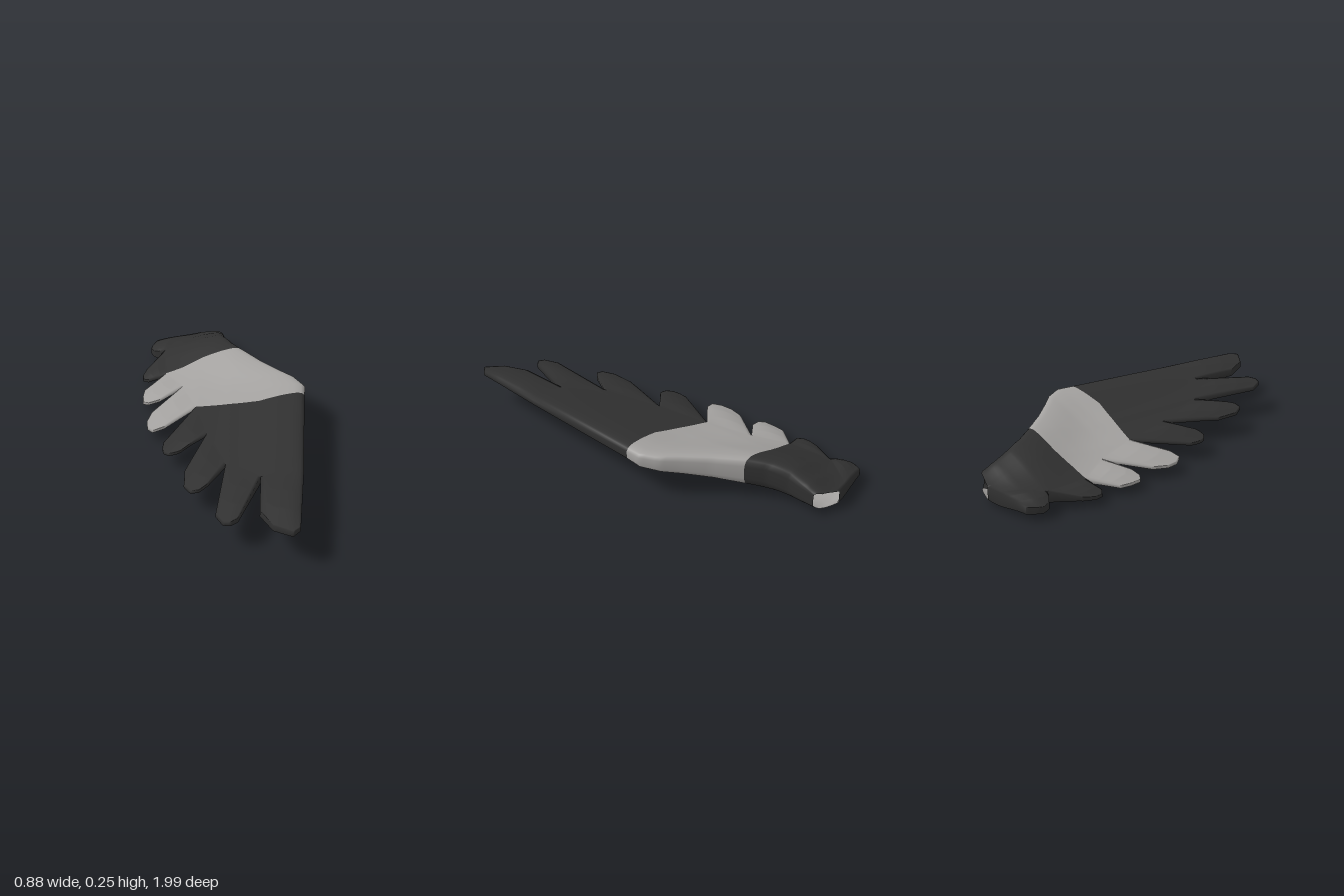
import * as THREE from 'three';
import { mergeVertices } from 'three/addons/utils/BufferGeometryUtils.js';

const ROWS = 48, COLS = 12;

// Piecewise-linear lookup in a table of [key, value]
function lookup(table, k) {
  if (k <= table[0][0]) return table[0][1];
  for (let i = 1; i < table.length; i++) {
    const [k0, v0] = table[i - 1], [k1, v1] = table[i];
    if (k <= k1) return v0 + (v1 - v0) * (k - k0) / (k1 - k0);
  }
  return table[table.length - 1][1];
}

// Wing section rules: leading edge x by z, camber height by x, thickness above and below it by z
const LEAD = [[-0.94, 0], [-0.8, 0.02], [-0.7, 0.06], [-0.61, 0.12], [-0.48, 0.22], [-0.37, 0.32],
  [-0.3, 0.39], [-0.21, 0.44], [-0.13, 0.435], [1, 0.385]];
const CAMBER = [[-0.44, 0.035], [-0.27, 0.08], [-0.13, 0.115], [0.05, 0.15], [0.3, 0.185], [0.44, 0.202]];
const ABOVE = [[-1, 0.035], [-0.97, 0.042], [-0.9, 0.068], [-0.8, 0.078], [-0.7, 0.068], [-0.6, 0.07],
  [-0.3, 0.05], [-0.1, 0.046], [0.2, 0.038], [1, 0.014]];
const BELOW = [[-1, 0.035], [-0.95, 0.067], [-0.9, 0.07], [-0.8, 0.095], [-0.7, 0.11], [-0.6, 0.1],
  [-0.3, 0.06], [-0.13, 0.04], [0.2, 0.034], [1, 0.014]];
const THIN = 0.007;

function middle(x, z) {
  const drop = THREE.MathUtils.smoothstep(-z, 0.68, 0.95) * THREE.MathUtils.smoothstep(x, -0.4, -0.1);
  return lookup(CAMBER, x) - 0.054 * drop;
}

// Rounded nose of the given depth, then a soft fall-off toward the feathers
function thickness(table, x, z, nose, spread) {
  const d = Math.max(0, lookup(LEAD, z) - x);
  const f = d < nose ? 0.35 + 0.65 * Math.sqrt(1 - (1 - d / nose) ** 2) : Math.exp(-(((d - nose) / spread) ** 2));
  return THIN + (lookup(table, z) - THIN) * f;
}

// Point on a polyline, evenly spaced per segment
function along(line, t) {
  const u = t * (line.length - 1), i = Math.min(Math.floor(u), line.length - 2), f = u - i;
  return [0, 1].map(k => line[i][k] + (line[i + 1][k] - line[i][k]) * f);
}

// Grid of upper and lower points filling four border lines
function patch(root, a, b, end, isFeather) {
  const grid = [];
  for (let i = 0; i <= ROWS; i++) {
    const t = i / ROWS, row = [];
    for (let j = 0; j <= COLS; j++) {
      const s = j / COLS;
      const r = along(root, s), e = along(end, s), l = along(a, t), m = along(b, t);
      const [x, z] = [0, 1].map(k => (1 - t) * r[k] + t * e[k] + (1 - s) * l[k] + s * m[k]
        - (1 - t) * ((1 - s) * root[0][k] + s * root[root.length - 1][k])
        - t * ((1 - s) * end[0][k] + s * end[end.length - 1][k]));
      const bulge = isFeather ? 0.01 * Math.sin(Math.PI * s) * Math.min(1, 3 * t, 3 * (1 - t)) : 0;
      const y = middle(x, z);
      row.push({
        top: [x, y + thickness(ABOVE, x, z, 0.06, 0.25) + bulge, z],
        bottom: [x, y - thickness(BELOW, x, z, 0.1, 0.23) - bulge, z],
      });
    }
    grid.push(row);
  }
  return grid;
}

// Collects faces by part and colour, smooths them together, then makes one mesh per part and colour
class Skin {
  constructor() { this.positions = []; this.parts = new Map(); }
  quad(part, material, p, q, r, s) {
    const key = `${material.name} ${part}`;
    if (!this.parts.has(key)) this.parts.set(key, { material, corners: [] });
    for (const v of [p, q, r, r, q, s]) {
      this.parts.get(key).corners.push(this.positions.length / 3);
      this.positions.push(...v);
    }
  }
  build(group) {
    let whole = new THREE.BufferGeometry();
    whole.setAttribute('position', new THREE.Float32BufferAttribute(this.positions, 3));
    whole = mergeVertices(whole, 1e-4);
    whole.computeVertexNormals();
    for (const [name, { material, corners }] of this.parts) {
      const g = new THREE.BufferGeometry();
      g.setIndex(corners.map(c => whole.index.getX(c)));
      g.setAttribute('position', whole.attributes.position);
      g.setAttribute('normal', whole.attributes.normal);
      const mesh = new THREE.Mesh(g.toNonIndexed(), material);
      mesh.name = name;
      group.add(mesh);
    }
  }
}

const dark = new THREE.MeshStandardMaterial({ color: 0x303030, side: THREE.DoubleSide });
dark.name = 'charcoal';
const pale = new THREE.MeshStandardMaterial({ color: 0xa3a19f, side: THREE.DoubleSide });
pale.name = 'pale grey';

// Borders between feather strips, each from the arm to the notch between two feathers
const WRIST = [[0.435, -0.13], [0.34, -0.12], [0.2, -0.105], [0.03, -0.135], [-0.13, -0.165]];
const BAND = [[0.12, -0.61], [0, -0.605], [-0.1, -0.6], [-0.22, -0.575], [-0.31, -0.565]];
const MID = [[0.32, -0.37], [-0.21, -0.395]];
const INNER = [[0.02, -0.8], [-0.33, -0.8]];
const ROOT = [[0, -0.94], [-0.03, -0.97], [-0.13, -1], [-0.2, -0.985]];
const SPLIT3 = [WRIST[3], [-0.065, 0.105]];
const SPLIT2 = [WRIST[2], [0.035, 0.4]];
const SPLIT1 = [WRIST[1], [0.205, 0.55]];
const EDGE = [WRIST[0], [0.41, 0.55]];

// Feather strips from body to wing tip: base line, two borders, feather outline between them
const STRIPS = [
  { colour: dark, arm: true, rootEnd: true, base: [[0, -0.94], [0.01, -0.87], [0.02, -0.8]], a: ROOT, b: INNER,
    tip: [[-0.38, -0.95], [-0.405, -0.9], [-0.41, -0.87], [-0.39, -0.83], [-0.36, -0.81]] },
  { colour: dark, arm: true, base: [[0.02, -0.8], [0.06, -0.7], [0.12, -0.61]], a: INNER, b: BAND,
    tip: [[-0.42, -0.66], [-0.44, -0.6], [-0.435, -0.56], [-0.405, -0.54]] },
  { colour: pale, arm: true, base: [[0.12, -0.61], [0.22, -0.48], [0.32, -0.37]], a: BAND, b: MID,
    tip: [[-0.42, -0.44], [-0.425, -0.38], [-0.42, -0.32], [-0.39, -0.3], [-0.33, -0.31]] },
  { colour: pale, arm: true, base: [[0.32, -0.37], [0.39, -0.3], [0.44, -0.21], WRIST[0]], a: MID, b: WRIST,
    tip: [[-0.365, -0.2], [-0.387, -0.12], [-0.38, -0.06], [-0.35, -0.02], [-0.29, -0.035]] },
  { colour: dark, base: [WRIST[4], WRIST[3]], a: [WRIST[4], WRIST[4]], b: SPLIT3,
    tip: [[-0.285, 0.11], [-0.29, 0.16], [-0.28, 0.2], [-0.25, 0.225], [-0.2, 0.22], [-0.165, 0.185]] },
  { colour: dark, base: [WRIST[3], WRIST[2]], a: SPLIT3, b: SPLIT2,
    tip: [[-0.165, 0.4], [-0.165, 0.52], [-0.13, 0.58], [-0.09, 0.58], [-0.05, 0.54]] },
  { colour: dark, base: [WRIST[2], WRIST[1]], a: SPLIT2, b: SPLIT1,
    tip: [[-0.005, 0.79], [0.03, 0.86], [0.065, 0.87], [0.1, 0.845]] },
  { colour: dark, wingTip: true, base: [WRIST[1], WRIST[0]], a: SPLIT1, b: EDGE,
    tip: [[0.2, 0.81], [0.26, 0.93], [0.35, 0.99], [0.385, 0.955]] },
];

export function createModel() {
  const skin = new Skin();

  // Upper and lower faces; wraps(i, j) tells where the upper colour folds under
  const addFaces = (grid, colour, wraps) => {
    for (let i = 0; i < ROWS; i++) for (let j = 0; j < COLS; j++) {
      const p = grid[i][j], q = grid[i + 1][j], r = grid[i][j + 1], s = grid[i + 1][j + 1];
      skin.quad('upper feathers', colour, p.top, q.top, r.top, s.top);
      skin.quad('underside', wraps(i, j) ? colour : pale, p.bottom, r.bottom, q.bottom, s.bottom);
    }
  };
  const addRim = (points, colour) => {
    for (let i = 1; i < points.length; i++) {
      const p = points[i - 1], q = points[i];
      skin.quad('rim', colour, p.top, p.bottom, q.top, q.bottom);
    }
  };

  for (const { colour, arm, rootEnd, wingTip, base, a, b, tip } of STRIPS) {
    const left = a[a.length - 1], right = b[b.length - 1];
    // Wing body part of the strip
    const body = patch(base, a, b, [left, right], false);
    addFaces(body, colour, (i, j) => (arm && i < 10) || (wingTip && j === COLS - 1));
    if (arm) addRim([...body[0]].reverse(), colour);
    // The arm is left open where it meets the body
    if (rootEnd) addRim(body.slice(ROWS * 2 / 3).map(row => row[0]), colour);
    if (wingTip) addRim(body.map(row => row[COLS]).reverse(), colour);
    // Free feather end
    const feather = patch([left, right], [left, tip[0]], [right, tip[tip.length - 1]], tip, true);
    addFaces(feather, colour, (i, j) => j === 0 || j === COLS - 1 || i >= ROWS - 2);
    addRim([...feather.map(row => row[0]), ...feather[ROWS].slice(1),
      ...feather.map(row => row[COLS]).reverse().slice(1)], colour);
  }

  const wing = new THREE.Group();
  wing.name = 'wing';
  skin.build(wing);

  // Stand on the ground, centred
  const box = new THREE.Box3().setFromObject(wing), c = box.getCenter(new THREE.Vector3());
  wing.position.set(-c.x, -box.min.y, -c.z);
  const model = new THREE.Group();
  model.name = 'featheredWing';
  model.add(wing);
  return model;
}
